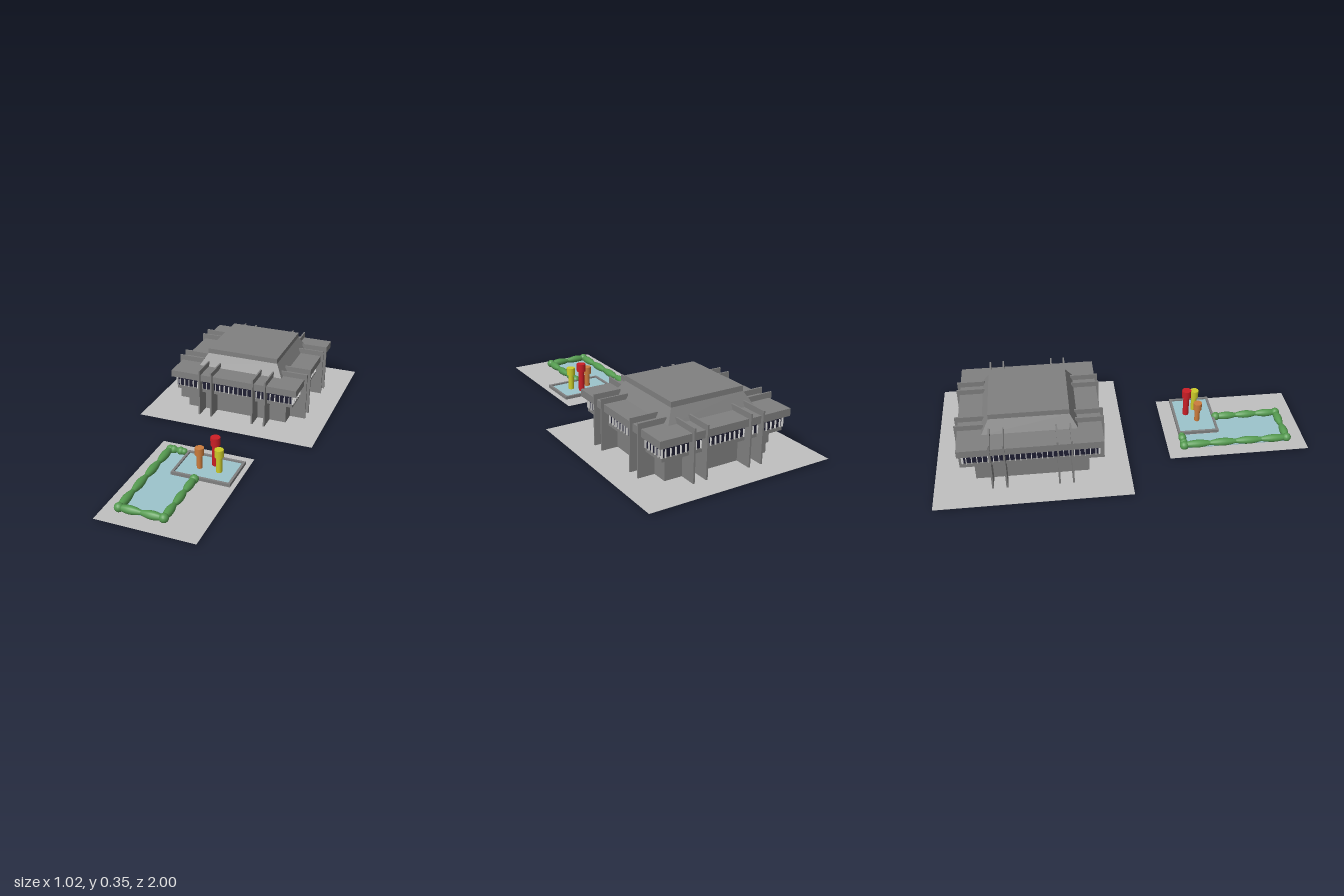
import * as THREE from 'three';

const mat = (name, color) => {
  const m = new THREE.MeshStandardMaterial({ color });
  m.name = name;
  return m;
};

export function createModel() {
  const concrete = mat('concrete', 0x808080);
  const paving = mat('paving', 0xc0c0c0);
  const glass = mat('dark glass', 0x1e1e32);
  const mullionPaint = mat('mullion white', 0xd8d8d8);
  const water = mat('water', 0x9cc4cc);
  const leaf = mat('hedge green', 0x559b50);
  const red = mat('red', 0xcc1e26);
  const orange = mat('orange', 0xcc7c3c);
  const yellow = mat('yellow', 0xcccc2a);

  const root = new THREE.Group();
  root.name = 'pavilionAndPond';

  const add = (parent, name, geometry, material, x = 0, y = 0, z = 0) => {
    const mesh = new THREE.Mesh(geometry, material);
    mesh.name = name;
    mesh.position.set(x, y, z);
    parent.add(mesh);
    return mesh;
  };
  // Box given by its limits on each axis
  const block = (parent, name, material, [x0, x1], [y0, y1], [z0, z1]) =>
    add(parent, name, new THREE.BoxGeometry(x1 - x0, y1 - y0, z1 - z0), material,
      (x0 + x1) / 2, (y0 + y1) / 2, (z0 + z1) / 2);

  // Paved ground under the building and under the pond
  block(root, 'buildingGround', paving, [-0.51, 0.51], [0.009, 0.01], [-1, 0.015]);
  block(root, 'pondGround', paving, [-0.255, 0.265], [0.009, 0.01], [0.24, 1]);

  // Square building, stacked in layers around its own centre
  const building = new THREE.Group();
  building.name = 'building';
  building.position.z = -0.4935;
  root.add(building);
  const layer = (name, material, h, y0, y1) =>
    block(building, name, material, [-h, h], [y0, y1], [-h, h]);
  layer('walls', concrete, 0.295, 0.0085, 0.14);
  layer('windowLedge', concrete, 0.345, 0.137, 0.158);
  layer('windowBand', glass, 0.344, 0.158, 0.216);
  layer('roofSlab', concrete, 0.37, 0.215, 0.254);
  layer('roofTop', concrete, 0.207, 0.32, 0.349);

  // Sloping hip between the slab and the raised roof
  const hip = new THREE.CylinderGeometry(0.207 * Math.SQRT2, 0.247 * Math.SQRT2, 0.068, 4, 1, true).toNonIndexed();
  hip.rotateY(Math.PI / 4);
  hip.computeVertexNormals();
  add(building, 'roofSlope', hip, concrete, 0, 0.287, 0);

  // Each side repeats fins and mullions; the flanks have wider fin spacing
  for (let i = 0; i < 4; i++) {
    const side = new THREE.Group();
    side.name = 'facade';
    side.rotation.y = i * Math.PI / 2;
    building.add(side);
    const offsets = i % 2 ? [0.135, 0.207] : [0.123, 0.195];
    for (const o of offsets) {
      for (const s of [-1, 1]) {
        block(side, 'fin', concrete, [s * o - 0.0045, s * o + 0.0045], [0.0085, 0.283], [0.235, 0.385]);
      }
    }
    for (let k = -12; k <= 12; k++) {
      const x = k * 0.0272;
      block(side, 'mullion', mullionPaint, [x - 0.002, x + 0.002], [0.158, 0.198], [0.34, 0.353]);
    }
    for (const s of [-1, 1]) {
      block(side, 'cornerMullion', mullionPaint, [s * 0.345 - 0.002, s * 0.345 + 0.002], [0.158, 0.215], [0.34, 0.351]);
    }
  }

  // Lower pond, an L around the raised basin
  const pond = new THREE.Group();
  pond.name = 'pond';
  root.add(pond);
  block(pond, 'lowerWater', water, [-0.18, 0.06], [0.01, 0.015], [0.535, 0.9]);
  block(pond, 'lowerWaterArm', water, [-0.18, -0.07], [0.01, 0.015], [0.32, 0.535]);

  // Raised basin with a rim
  const [bx0, bx1, bz0, bz1, t] = [-0.073, 0.245, 0.315, 0.542, 0.013];
  block(pond, 'basinWater', water, [bx0 + t, bx1 - t], [0.02, 0.028], [bz0 + t, bz1 - t]);
  for (const z of [bz0, bz1 - t]) {
    block(pond, 'basinRim', concrete, [bx0, bx1], [0.019, 0.036], [z, z + t]);
  }
  for (const x of [bx0, bx1 - t]) {
    block(pond, 'basinRim', concrete, [x, x + t], [0.019, 0.036], [bz0 + t, bz1 - t]);
  }

  // Three capped columns standing in the basin
  const column = (name, material, x, z, r, R, neck, top) => {
    const g = new THREE.Group();
    g.name = name;
    g.position.set(x, 0, z);
    pond.add(g);
    add(g, 'shaft', new THREE.CylinderGeometry(r, r, neck - 0.015, 12), material, 0, (neck + 0.015) / 2, 0);
    add(g, 'cap', new THREE.CylinderGeometry(R, R, top - neck, 12), material, 0, (neck + top) / 2, 0);
  };
  column('orangeColumn', orange, 0.042, 0.44, 0.015, 0.024, 0.104, 0.145);
  column('yellowColumn', yellow, 0.148, 0.44, 0.016, 0.024, 0.115, 0.157);
  column('redColumn', red, 0.107, 0.387, 0.017, 0.026, 0.146, 0.19);

  // Hedge: bulging runs of shrub with round ends
  const hedge = new THREE.Group();
  hedge.name = 'hedge';
  pond.add(hedge);
  const ball = (x, z, r = 0.024, y = 0.03) =>
    add(hedge, 'hedgeBall', new THREE.SphereGeometry(r, 14, 10), leaf, x, y, z);
  const run = (x0, z0, x1, z1, count) => {
    const length = Math.hypot(x1 - x0, z1 - z0) / count;
    const profile = [];
    for (let i = 0; i <= 8; i++) {
      const u = i / 8;
      profile.push(new THREE.Vector2(0.012 + 0.01 * Math.sin(Math.PI * u), (u - 0.5) * length));
    }
    const geometry = new THREE.LatheGeometry(profile, 14);
    const dir = new THREE.Vector3(x1 - x0, 0, z1 - z0).normalize();
    for (let i = 0; i < count; i++) {
      const f = (i + 0.5) / count;
      const m = add(hedge, 'hedgeRun', geometry, leaf, x0 + (x1 - x0) * f, 0.03, z0 + (z1 - z0) * f);
      m.quaternion.setFromUnitVectors(new THREE.Vector3(0, 1, 0), dir);
    }
  };
  run(-0.172, 0.33, -0.172, 0.9, 4);
  run(-0.172, 0.9, 0.06, 0.9, 2);
  run(0.06, 0.9, 0.06, 0.55, 3);
  run(-0.172, 0.33, -0.092, 0.33, 2);
  ball(-0.172, 0.33, 0.025, 0.025);
  ball(-0.172, 0.9);
  ball(0.06, 0.9);
  ball(0.06, 0.552);
  ball(-0.092, 0.33, 0.018);

  return root;
}
